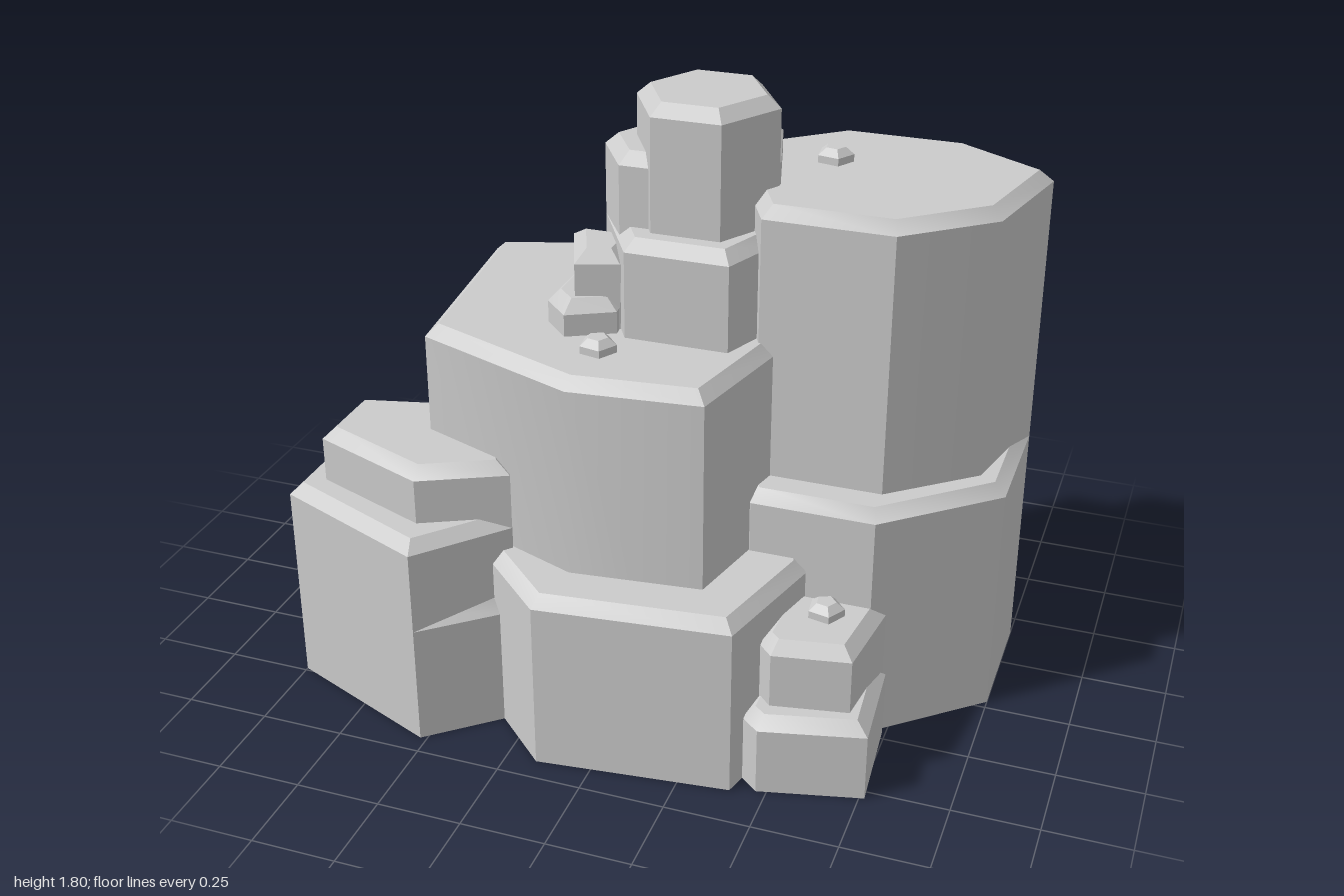
import * as THREE from 'three';
import { toCreasedNormals } from 'three/addons/utils/BufferGeometryUtils.js';

const material = new THREE.MeshStandardMaterial({ color: 0xcccccc });

// Move every side of a convex outline inwards by d
function inset(pts, d) {
  const n = pts.length;
  const dir = (a, b) => {
    const l = Math.hypot(b[0] - a[0], b[1] - a[1]);
    return [(b[0] - a[0]) / l, (b[1] - a[1]) / l];
  };
  return pts.map((p, i) => {
    const u = dir(pts[(i + n - 1) % n], p), v = dir(p, pts[(i + 1) % n]);
    const k = d / (1 + u[0] * v[0] + u[1] * v[1]);
    return [p[0] - k * (u[1] + v[1]), p[1] + k * (u[0] + v[0])];
  });
}

// Upright prism over an [x, z] outline, with a chamfered top rim
function slab(name, outline, y0, y1, bevel = 0.035) {
  const n = outline.length;
  const area = outline.reduce((s, p, i) => {
    const q = outline[(i + 1) % n];
    return s + p[0] * q[1] - q[0] * p[1];
  }, 0);
  const base = area > 0 ? outline : [...outline].reverse();
  const at = (pts, y) => pts.map(([x, z]) => [x, y, z]);
  const rings = [at(base, y0), at(base, y1 - bevel), at(inset(base, bevel), y1)];
  const pos = [];
  const tri = (a, b, c) => pos.push(...a, ...b, ...c);
  for (let r = 0; r < 2; r++) {
    for (let i = 0; i < n; i++) {
      const j = (i + 1) % n, lo = rings[r], hi = rings[r + 1];
      tri(lo[i], hi[i], hi[j]);
      tri(lo[i], hi[j], lo[j]);
    }
  }
  for (let i = 1; i < n - 1; i++) {
    tri(rings[2][0], rings[2][i + 1], rings[2][i]);
    tri(rings[0][0], rings[0][i], rings[0][i + 1]);
  }
  const geo = new THREE.BufferGeometry();
  geo.setAttribute('position', new THREE.Float32BufferAttribute(pos, 3));
  const mesh = new THREE.Mesh(toCreasedNormals(geo, 0.66), material);
  mesh.name = name;
  return mesh;
}

// A rock is a stack of tiers, each given as [top height, outline, base height]
function rock(name, tiers) {
  const group = new THREE.Group();
  group.name = name;
  tiers.forEach(([top, outline, base = 0], i) => group.add(slab(`${name}Tier${i + 1}`, outline, base, top)));
  return group;
}

function pebble(x, y, z) {
  const pts = [];
  for (let i = 0; i < 5; i++) {
    const a = -0.1 + i * Math.PI * 2 / 5;
    pts.push([x + 0.054 * Math.cos(a), z + 0.054 * Math.sin(a)]);
  }
  return slab('pebble', pts, y - 0.01, y + 0.042, 0.02);
}

export function createModel() {
  const model = new THREE.Group();
  model.name = 'rockFormation';

  model.add(rock('mainRock', [
    [0.55, [[-0.85, -0.42], [-0.26, -0.61], [0.25, -0.59], [0.5, 0.25], [0.4, 0.62], [-0.16, 0.68], [-0.65, 0.22]]],
    [0.88, [[-0.85, -0.42], [-0.26, -0.61], [0.25, -0.59], [0.3, 0.2], [0, 0.4], [-0.62, 0.31]]],
    [1.15, [[-0.68, -0.33], [-0.25, -0.48], [0.15, -0.46], [0.36, 0.1], [0.27, 0.48], [-0.11, 0.52], [-0.61, 0.33]]],
  ]));

  model.add(rock('tallRock', [
    [0.74, [[1, -0.42], [1, -0.03], [0.69, 0.24], [0.33, 0.24], [0.06, -0.1], [0.06, -0.43], [0.33, -0.69], [0.72, -0.69]]],
    [1.2, [[1, -0.42], [0.88, -0.1], [0.2, -0.1], [0.06, -0.31], [0.08, -0.45], [0.33, -0.69], [0.72, -0.69]]],
    [1.55, [[1, -0.42], [0.92, -0.07], [0.68, 0.13], [0.31, 0.13], [0.1, -0.3], [0.14, -0.4], [0.36, -0.585], [0.72, -0.585]]],
  ]));

  model.add(rock('leftRock', [
    [0.4, [[-1, 0.13], [-0.6, 0], [-0.31, 0.3], [-0.31, 0.51], [-0.52, 0.69], [-1, 0.49]]],
    [0.65, [[-1, 0.13], [-0.6, 0.06], [-0.4, 0.2], [-0.31, 0.45], [-0.52, 0.69], [-1, 0.49]]],
    [0.82, [[-0.91, 0.2], [-0.5, 0.1], [-0.31, 0.45], [-0.55, 0.57], [-0.91, 0.43]]],
  ]));

  model.add(rock('smallFrontRock', [
    [0.24, [[0.41, 0.24], [0.74, 0.22], [0.765, 0.53], [0.47, 0.6], [0.41, 0.55]]],
    [0.44, [[0.44, 0.22], [0.73, 0.22], [0.7, 0.48], [0.48, 0.52], [0.43, 0.47]]],
  ]));

  // Hexagonal peak standing on the main rock
  model.add(rock('peak', [
    [1.44, [[-0.2, -0.04], [-0.05, -0.31], [0.24, -0.31], [0.325, 0.03], [0.25, 0.22], [-0.05, 0.22]], 1],
    [1.65, [[-0.2, -0.04], [-0.05, -0.31], [0.24, -0.31], [0.31, -0.05], [0.2, 0.12], [-0.1, 0.12]], 1],
    [1.805, [[-0.105, -0.04], [0, -0.225], [0.2, -0.225], [0.31, -0.04], [0.2, 0.145], [0, 0.145]], 1],
  ].map(([t, o, b], i) => [t, o, i === 0 ? b : 1.3])));

  // Little steps beside the peak
  model.add(rock('sideStep', [
    [1.25, [[-0.29, 0], [-0.1, 0], [-0.08, 0.2], [-0.21, 0.27], [-0.29, 0.19]], 1],
    [1.38, [[-0.285, 0], [-0.08, 0], [-0.08, 0.17], [-0.2, 0.21]], 1],
  ]));

  // One pebble on each flat top
  [[0.4, 1.55, -0.29], [-0.09, 1.15, 0.32], [0.58, 0.44, 0.32]].forEach((p) => model.add(pebble(...p)));
  return model;
}
